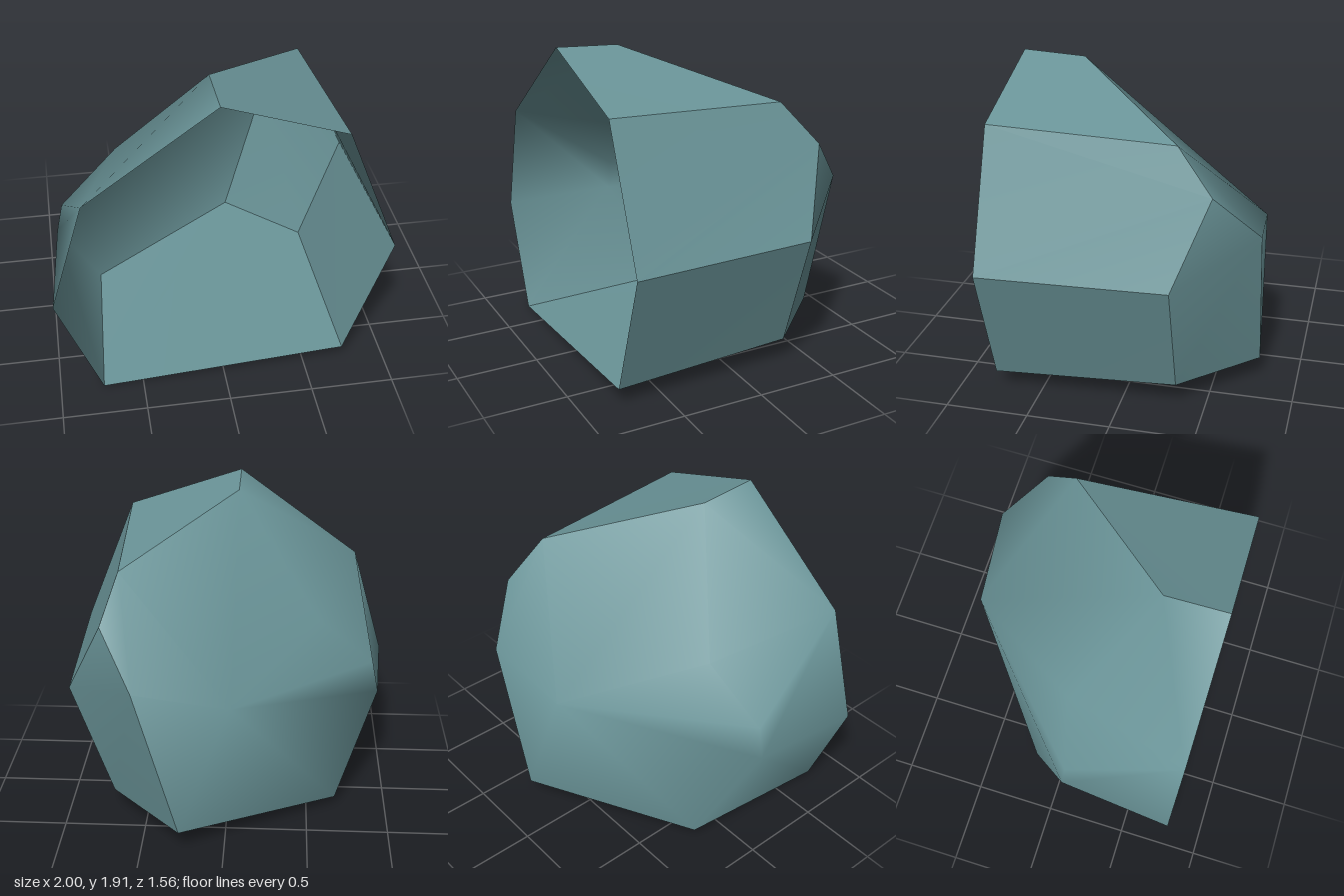
import * as THREE from 'three';

// Corners of the faceted shell: seven on the open front rim, the rest behind it
const corners = {
  rimTop: [-0.04, 1.915, 0.78], rimTopSide: [0.68, 1.675, 0.78], rimSide: [1.0, 0.875, 0.78],
  rimLowSide: [0.735, 0.107, 0.78], rimLow: [-0.74, 0.0, 0.78], rimFar: [-1.0, 0.66, 0.78],
  rimHighFar: [-0.8, 1.355, 0.78],
  top: [-0.04, 1.895, 0.4], shoulder: [0.63, 1.62, -0.31], upperSide: [0.72, 1.365, -0.525],
  side: [0.955, 0.875, -0.335], lowSide: [0.71, 0.15, -0.33], lowBack: [0.27, 0.14, -0.77],
  back: [0.52, 1.07, -0.78], midBack: [-0.04, 0.97, -0.74],
  lowFar: [-0.68, 0.055, -0.2], far: [-0.94, 0.68, 0.08],
  upperFar: [-0.9, 0.88, 0.09], crown: [-0.55, 1.2, 0.0],
};

// Flat facets, listed counter-clockwise from outside
const flatFacets = {
  topFacet: ['shoulder', 'top', 'rimTop', 'rimTopSide'],
  upperSideFacet: ['upperSide', 'shoulder', 'rimTopSide', 'rimSide', 'side'],
  lowerSideFacet: ['side', 'rimSide', 'rimLowSide', 'lowSide'],
  backSideFacet: ['back', 'upperSide', 'side', 'lowSide', 'lowBack'],
  floorFacet: ['lowBack', 'lowSide', 'rimLowSide', 'rimLow', 'lowFar'],
};

// Faces of the rounded back, which share smooth normals
const roundedFaces = [
  // walls behind the rim
  ['rimTop', 'top', 'rimHighFar'],
  ['far', 'rimFar', 'rimHighFar', 'upperFar'],
  ['far', 'lowFar', 'rimLow', 'rimFar'],
  // gentle bulge of the upper back
  ['top', 'midBack', 'crown'],
  ['midBack', 'upperFar', 'crown'],
  ['upperFar', 'rimHighFar', 'crown'],
  ['rimHighFar', 'top', 'crown'],
  // slope towards the shoulder
  ['top', 'shoulder', 'midBack'],
  ['shoulder', 'upperSide', 'back'],
  ['shoulder', 'back', 'midBack'],
  // lower back
  ['midBack', 'back', 'lowBack'],
  ['midBack', 'lowBack', 'lowFar'],
  ['midBack', 'lowFar', 'far', 'upperFar'],
];

// Fans each face into triangles over shared corners
function surface(faces) {
  const names = [...new Set(faces.flat())];
  const index = [];
  for (const face of faces) {
    const ids = face.map((n) => names.indexOf(n));
    for (let i = 1; i < ids.length - 1; i++) index.push(ids[0], ids[i], ids[i + 1]);
  }
  const geometry = new THREE.BufferGeometry();
  geometry.setAttribute('position',
    new THREE.Float32BufferAttribute(names.flatMap((n) => corners[n]), 3));
  geometry.setIndex(index);
  geometry.computeVertexNormals();
  return geometry;
}

export function createModel() {
  const group = new THREE.Group();
  group.name = 'openShell';
  const material = new THREE.MeshStandardMaterial({ color: 0x6a9498, side: THREE.DoubleSide });
  material.name = 'dusty teal';

  const add = (name, faces) => {
    const mesh = new THREE.Mesh(surface(faces), material);
    mesh.name = name;
    group.add(mesh);
  };
  add('roundedBack', roundedFaces);
  for (const [name, face] of Object.entries(flatFacets)) add(name, [face]);
  return group;
}
